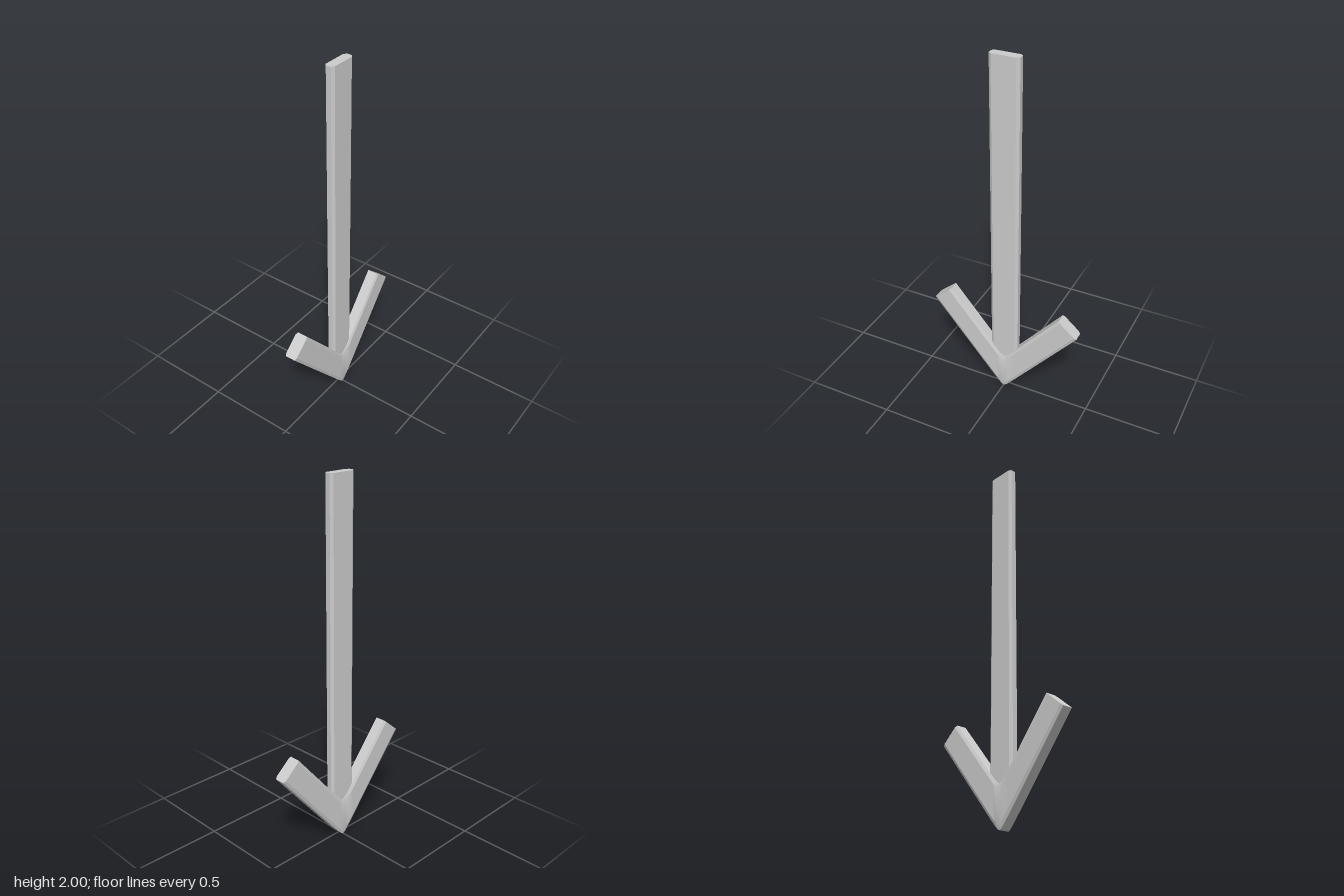
import * as THREE from 'three';
import { toCreasedNormals } from 'three/addons/utils/BufferGeometryUtils.js';

const material = new THREE.MeshStandardMaterial({ color: 0xcccccc });

// Edges of the V: straight arms blended into a rounded bend
const innerY = x => 0.2 + 1.2 * Math.hypot(x, 0.018);
const outerY = x => -0.016 + 1.2 * Math.hypot(x, 0.0133);

// Bevelled section: fraction across the arm (inner to outer), depth z
const SECTION = [
  [0, -0.028], [0, 0.028], [0.11, 0.035], [0.89, 0.035],
  [1, 0.028], [1, -0.028], [0.89, -0.035], [0.11, -0.035],
];

function arrowheadGeometry() {
  // Inner and outer x for each station on the +x side, then mirrored
  const half = [[0.008, 0.006], [0.016, 0.012], [0.026, 0.02], [0.04, 0.035], [0.07, 0.07], [0.325, 0.43]];
  const stations = [...half.map(([a, b]) => [-a, -b]).reverse(), [0, 0], ...half];
  const n = SECTION.length;
  const positions = [];
  const indices = [];
  for (const [xi, xo] of stations) {
    for (const [f, z] of SECTION) {
      positions.push(
        THREE.MathUtils.lerp(xi, xo, f),
        THREE.MathUtils.lerp(innerY(xi), outerY(xo), f),
        z,
      );
    }
  }
  for (let i = 0; i < stations.length - 1; i++) {
    for (let j = 0; j < n; j++) {
      const a = i * n + j, b = i * n + (j + 1) % n;
      indices.push(a, b, b + n, a, b + n, a + n);
    }
  }
  // End caps
  const last = (stations.length - 1) * n;
  for (let j = 1; j < n - 1; j++) {
    indices.push(0, j + 1, j, last, last + j, last + j + 1);
  }
  const geometry = new THREE.BufferGeometry();
  geometry.setAttribute('position', new THREE.Float32BufferAttribute(positions, 3));
  geometry.setIndex(indices);
  return toCreasedNormals(geometry, 0.4);
}

function shaftGeometry(bottom, top) {
  // Flat bar with bevelled long edges
  const w = 0.08, d = 0.025, bx = 0.015, bz = 0.011;
  const outline = [
    [w, -d + bz], [w, d - bz], [w - bx, d], [-w + bx, d],
    [-w, d - bz], [-w, -d + bz], [-w + bx, -d], [w - bx, -d],
  ].map(([x, z]) => new THREE.Vector2(x, z));
  const geometry = new THREE.ExtrudeGeometry(new THREE.Shape(outline), { depth: top - bottom, bevelEnabled: false });
  return geometry.rotateX(-Math.PI / 2).translate(0, bottom, 0);
}

export function createModel() {
  const group = new THREE.Group();
  const addPart = (name, geometry) => {
    const mesh = new THREE.Mesh(geometry, material);
    mesh.name = name;
    group.add(mesh);
  };
  addPart('shaft', shaftGeometry(0.15, 2));
  addPart('arrowhead', arrowheadGeometry());
  return group;
}
